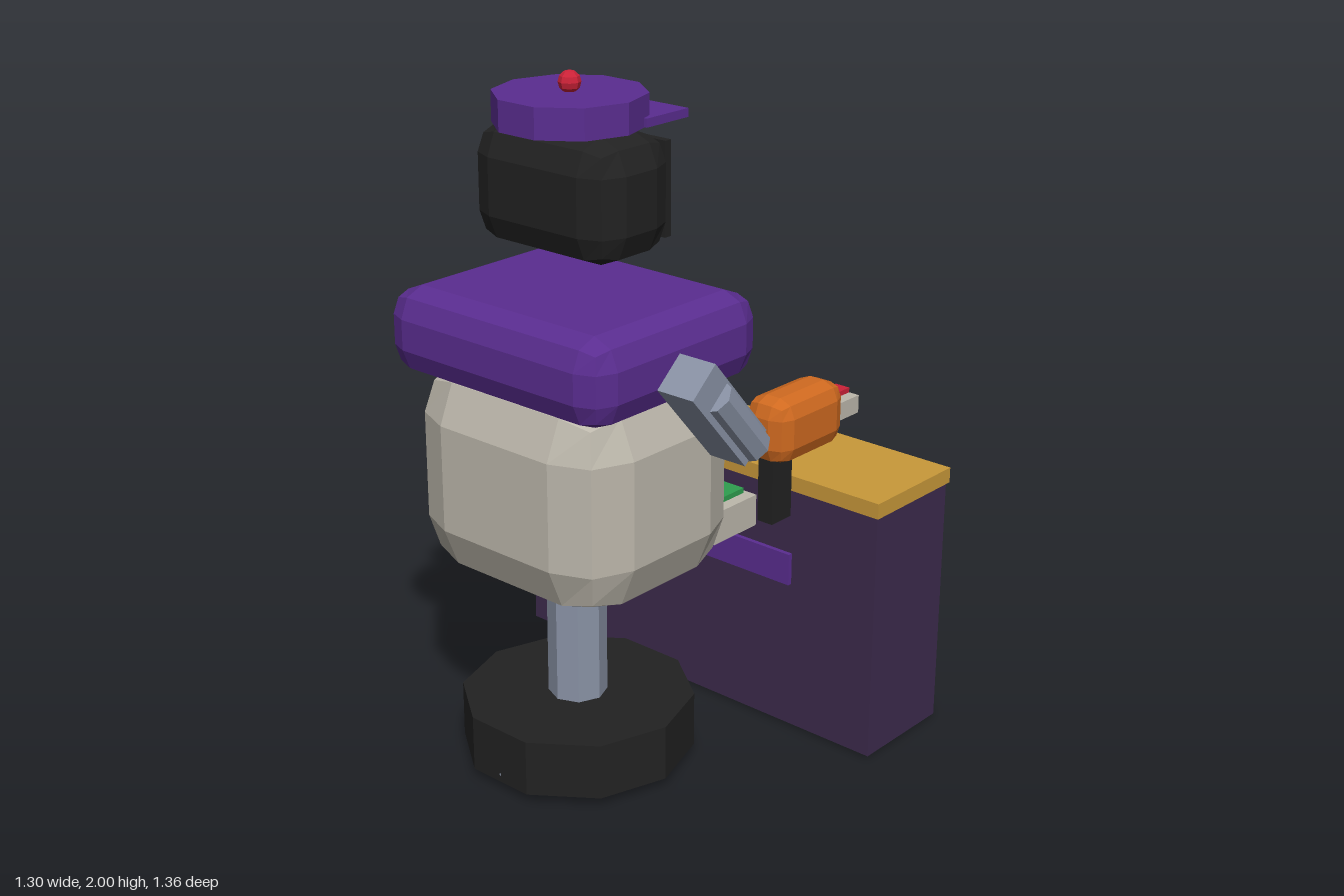
import * as THREE from 'three';
import { RoundedBoxGeometry } from 'three/addons/geometries/RoundedBoxGeometry.js';

const paint = (name, color) => {
  const m = new THREE.MeshStandardMaterial({ color });
  m.name = name;
  return m;
};

export function createModel() {
  const purple = paint('purple', 0x5a2d90);
  const darkPurple = paint('dark purple', 0x3d2b4d);
  const gold = paint('gold', 0xc9993a);
  const beige = paint('beige', 0xbdb8ac);
  const slate = paint('slate', 0x8a93a6);
  const black = paint('black', 0x222222);
  const orange = paint('orange', 0xd06a20);
  const red = paint('red', 0xcc2238);
  const cyan = paint('cyan', 0x35c3d0);
  const green = paint('green', 0x2f9e4f);

  const root = new THREE.Group();
  root.name = 'shopRobotAtCounter';
  const group = (name) => {
    const g = new THREE.Group();
    g.name = name;
    root.add(g);
    return g;
  };

  // Faceted mesh: every face gets its own normal
  const add = (parent, name, geometry, material, x, y, z) => {
    const g = geometry.index ? geometry.toNonIndexed() : geometry;
    g.computeVertexNormals();
    const mesh = new THREE.Mesh(g, material);
    mesh.name = name;
    mesh.position.set(x, y, z);
    parent.add(mesh);
    return mesh;
  };
  // Boxes given by their limits on each axis
  const span = (make) => (parent, name, material, [x0, x1], [y0, y1], [z0, z1], r) =>
    add(parent, name, make(x1 - x0, y1 - y0, z1 - z0, r), material,
      (x0 + x1) / 2, (y0 + y1) / 2, (z0 + z1) / 2);
  const box = span((w, h, d) => new THREE.BoxGeometry(w, h, d));
  const softBox = span((w, h, d, r) => new RoundedBoxGeometry(w, h, d, 1, r));
  const cyl = (r, h, n) => new THREE.CylinderGeometry(r, r, h, n);
  const CX = -0.317; // robot's vertical axis

  // Rolling base and pole
  const base = group('base');
  add(base, 'basePlate', cyl(0.337, 0.165, 10), black, CX, 0.113, 0);
  for (let i = 0; i < 4; i++) {
    const a = i * Math.PI / 2;
    add(base, 'wheel', new THREE.SphereGeometry(0.05, 8, 6), slate,
      CX + 0.272 * Math.cos(a), 0.053, 0.272 * Math.sin(a));
  }
  add(base, 'pole', cyl(0.085, 0.45, 8), slate, CX, 0.415, 0);

  // Body and shoulders
  const body = group('body');
  softBox(body, 'torso', beige, [-0.63, 0], [0.58, 1.21], [-0.36, 0.36], 0.16);
  softBox(body, 'shoulders', purple, [-0.65, 0.017], [1.165, 1.412], [-0.397, 0.397], 0.08);
  box(body, 'badge', gold, [0.005, 0.035], [1.265, 1.367], [0.143, 0.278]);
  box(body, 'badgeSlot', darkPurple, [0.03, 0.04], [1.298, 1.325], [0.165, 0.255]);

  // Register display, keys and cash drawer
  box(body, 'displayFrame', black, [-0.03, 0.02], [0.988, 1.14], [-0.21, 0.21]);
  box(body, 'displayScreen', red, [0.018, 0.026], [1.025, 1.1], [-0.17, 0.17]);
  for (let row = 0; row < 3; row++) {
    for (let col = 0; col < 4; col++) {
      add(body, 'key', new THREE.BoxGeometry(0.03, 0.047, 0.066),
        (row + col) % 2 ? slate : gold, 0.005, 0.921 - row * 0.069, 0.126 - col * 0.084);
    }
  }
  const drawer = group('cashDrawer');
  box(drawer, 'drawerTray', beige, [-0.01, 0.178], [0.62, 0.716], [-0.25, 0.25]);
  for (let i = 0; i < 4; i++) {
    add(drawer, 'banknotes', new THREE.BoxGeometry(0.14, 0.02, 0.1), green,
      0.093, 0.722, -0.164 + i * 0.1093);
  }

  // Floating head with a screen face
  const head = group('head');
  softBox(head, 'headShell', black, [-0.465, -0.167], [1.52, 1.86], [-0.25, 0.25], 0.09);
  box(head, 'facePanel', black, [-0.18, -0.157], [1.56, 1.822], [-0.21, 0.21]);
  const fx = [-0.158, -0.15];
  for (const s of [-1, 1]) {
    const zs = (a, b) => (s > 0 ? [a, b] : [-b, -a]);
    box(head, 'eye', cyan, fx, [1.695, 1.783], zs(0.066, 0.134));
    box(head, 'mouthCorner', cyan, fx, [1.615, 1.667], zs(0.122, 0.153));
  }
  box(head, 'mouth', cyan, fx, [1.608, 1.634], [-0.122, 0.122]);

  // Cap
  const cap = group('cap');
  add(cap, 'crown', cyl(0.208, 0.085, 10), purple, CX, 1.903, 0);
  box(cap, 'brim', purple, [-0.23, -0.065], [1.862, 1.886], [-0.19, 0.19]);
  add(cap, 'button', new THREE.SphereGeometry(0.031, 8, 6), red, CX, 1.97, 0);

  // Arms, mirrored
  for (const s of [-1, 1]) {
    const arm = group(s > 0 ? 'leftArm' : 'rightArm');
    add(arm, 'upperArm', new THREE.BoxGeometry(0.117, 0.325, 0.12), slate,
      -0.275, 1.163, s * 0.46).rotation.z = 0.72;
    add(arm, 'forearm', cyl(0.052, 0.25, 8), slate,
      -0.243, 1.135, s * 0.503).rotation.z = 0.72;
  }

  // Price labeller on the left
  const labeller = group('priceLabeller');
  softBox(labeller, 'labellerBody', orange, [-0.125, 0.163], [0.972, 1.157], [0.43, 0.575], 0.05);
  box(labeller, 'labellerHandle', black, [-0.105, -0.023], [0.8, 1.0], [0.48, 0.53]);
  box(labeller, 'labellerTip', beige, [0.13, 0.235], [1.035, 1.086], [0.442, 0.558]);
  box(labeller, 'labelStrip', red, [0.13, 0.235], [1.084, 1.1], [0.479, 0.525]);

  // Scanner with its beam on the right
  const scanner = group('scanner');
  softBox(scanner, 'scannerBody', black, [-0.073, 0.113], [1.04, 1.167], [-0.563, -0.447], 0.04);
  box(scanner, 'scannerWindow', red, [0.108, 0.132], [1.063, 1.147], [-0.553, -0.457]);
  box(scanner, 'beam', red, [0.13, 0.65], [1.101, 1.109], [-0.509, -0.501]);

  // Counter
  const counter = group('counter');
  box(counter, 'counterBody', darkPurple, [0.187, 0.521], [0.01, 0.766], [-0.672, 0.672]);
  box(counter, 'counterTop', gold, [0.18, 0.53], [0.764, 0.81], [-0.678, 0.678]);
  box(counter, 'counterStripe', purple, [0.173, 0.538], [0.468, 0.565], [-0.378, 0.378]);

  return root;
}
